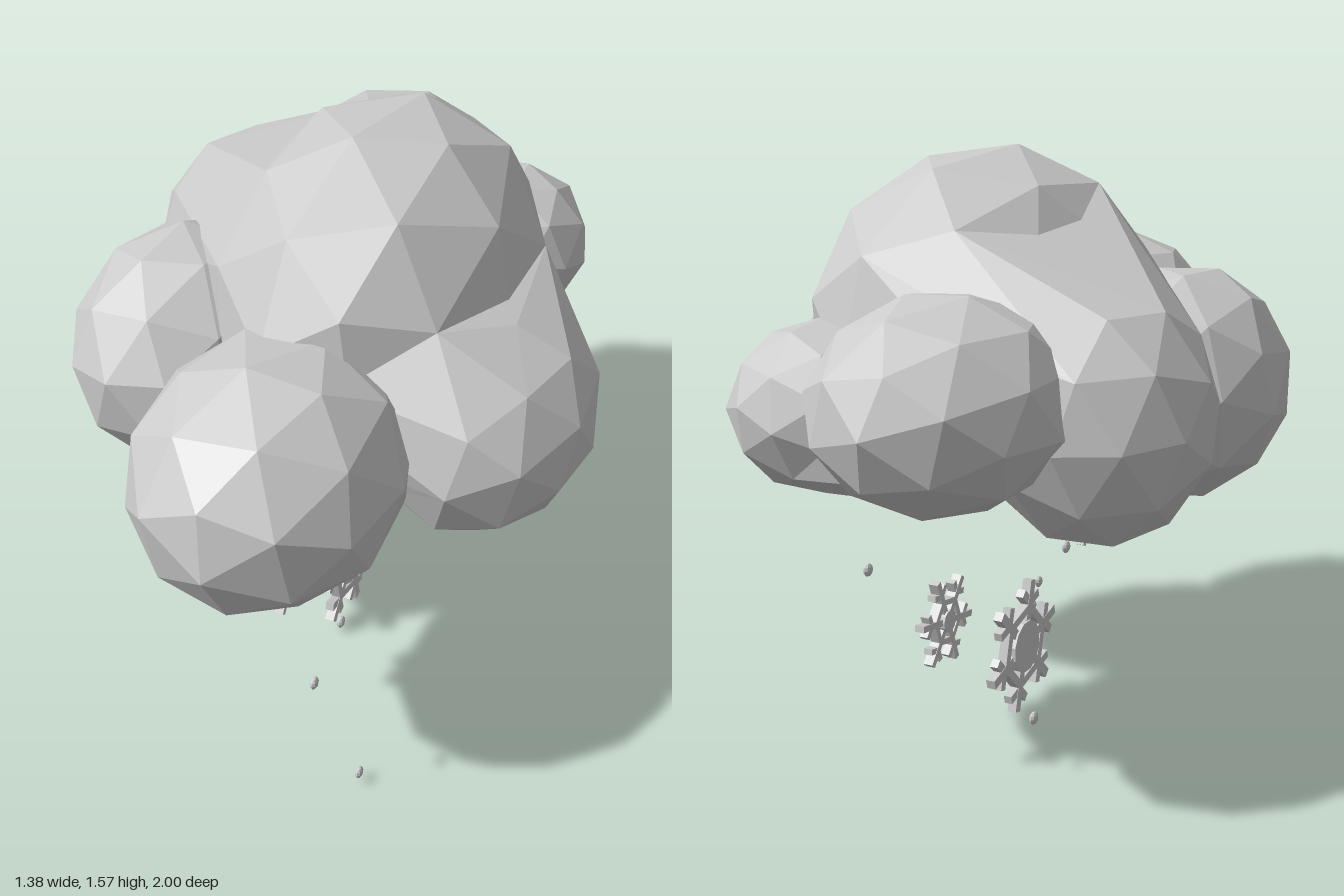
import * as THREE from 'three';
import { ConvexGeometry } from 'three/addons/geometries/ConvexGeometry.js';

const grey = new THREE.MeshStandardMaterial({ color: 0xcccccc, flatShading: true });

function add(parent, name, geometry) {
  const mesh = new THREE.Mesh(geometry, grey);
  mesh.name = name;
  parent.add(mesh);
  return mesh;
}

// Faceted puff: a turned icosphere fitted to a centre and half sizes
function puff(center, half, turn) {
  const g = new THREE.IcosahedronGeometry(1, 1);
  g.rotateX(turn[0]).rotateY(turn[1]).rotateZ(turn[2]);
  g.center();
  const { max } = g.boundingBox;
  g.scale(half[0] / max.x, half[1] / max.y, half[2] / max.z);
  g.translate(...center);
  g.computeVertexNormals();
  return g;
}

// Filled join between two puffs: hull over the points that pass a test
function join(a, b, keep) {
  const points = [];
  for (const { attributes: { position } } of [a, b]) {
    for (let i = 0; i < position.count; i++) {
      const p = new THREE.Vector3().fromBufferAttribute(position, i);
      if (keep(p)) points.push(p);
    }
  }
  return new ConvexGeometry(points);
}

// Flat bar in the flake's plane, starting at (x, 0) and running along an angle
function bar(parent, x, angle, length, width, depth) {
  const mesh = add(parent, 'bar', new THREE.BoxGeometry(length, width, depth).translate(length / 2, 0, 0));
  mesh.position.x = x;
  mesh.rotation.z = angle;
}

// Flat polygon plate with an optional hole
function plate(parent, name, outer, inner, depth, sides) {
  const loop = (r) => Array.from({ length: sides }, (_, i) => {
    const a = (i / sides) * Math.PI * 2;
    return new THREE.Vector2(r * Math.cos(a), r * Math.sin(a));
  });
  const shape = new THREE.Shape(loop(outer));
  if (inner) shape.holes.push(new THREE.Path(loop(inner).reverse()));
  const g = new THREE.ExtrudeGeometry(shape, { depth, bevelEnabled: false });
  add(parent, name, g.translate(0, 0, -depth / 2));
}

// Six-armed snowflake standing in the YZ plane
function snowflake({ name, y, z, radius, width, tilt, fork, hub, ring }) {
  const flake = new THREE.Group();
  flake.name = name;
  const depth = 0.026;
  const [at, length] = fork;
  for (let i = 0; i < 6; i++) {
    const arm = new THREE.Group();
    arm.name = 'arm';
    arm.rotation.z = (i * Math.PI) / 3;
    bar(arm, 0, 0, radius, width, depth);
    for (const side of [-1, 1]) {
      bar(arm, at * radius, (side * Math.PI) / 3, length * radius, width * 0.9, depth * 0.9);
    }
    flake.add(arm);
  }
  plate(flake, 'hub', hub, 0, depth * 1.4, 12);
  if (ring) plate(flake, 'ring', ring, ring - width, depth, 6);
  flake.position.set(-0.015, y, z);
  flake.rotation.set(0, Math.PI / 2, tilt);
  return flake;
}

export function createModel() {
  const model = new THREE.Group();
  model.name = 'snowCloud';

  // Cloud: centre, half sizes and turn of each puff
  const cloud = new THREE.Group();
  cloud.name = 'cloud';
  const puffs = {
    mainPuff: puff([0.05, 1.14, -0.06], [0.4, 0.43, 0.55], [0.2, 0.3, 0.15]),
    frontPuff: puff([0.025, 0.955, 0.595], [0.34, 0.315, 0.405], [0.12, 0, 0.1]),
    leftPuff: puff([0.41, 0.925, 0.145], [0.28, 0.275, 0.375], [0, 0.1, -0.25]),
    rightFrontPuff: puff([-0.41, 0.955, 0.17], [0.28, 0.3, 0.35], [0.2, 0.3, -0.3]),
    rightBackPuff: puff([-0.395, 0.98, -0.315], [0.285, 0.33, 0.31], [0.5, 0.1, 0.3]),
    backPuff: puff([-0.14, 1.045, -0.61], [0.31, 0.26, 0.39], [0, 0, 0.2]),
    leftBackPuff: puff([0.23, 0.985, -0.565], [0.23, 0.205, 0.255], [0.3, 0.6, 0]),
  };
  for (const [name, geometry] of Object.entries(puffs)) add(cloud, name, geometry);
  const { mainPuff, leftPuff, rightBackPuff, backPuff, leftBackPuff } = puffs;
  add(cloud, 'rightShoulder', join(mainPuff, rightBackPuff, (p) => p.y > 0.92 && p.y < 1.5));
  add(cloud, 'leftShoulder', join(mainPuff, leftPuff, (p) => p.y > 0.85 && p.y < 1.3 && p.z > -0.3));
  add(cloud, 'backSkirt', join(backPuff, leftBackPuff, (p) => p.y < 1.05 && p.z > -0.8));
  model.add(cloud);

  // Snowflakes
  model.add(
    snowflake({
      name: 'largeSnowflake', y: 0.185, z: 0.015, radius: 0.187, width: 0.027, tilt: -0.27,
      fork: [0.66, 0.28], hub: 0.075, ring: 0.125,
    }),
    snowflake({
      name: 'frontSnowflake', y: 0.46, z: 0.43, radius: 0.103, width: 0.018, tilt: -0.12,
      fork: [0.58, 0.27], hub: 0.03,
    }),
    snowflake({
      name: 'backSnowflake', y: 0.41, z: -0.415, radius: 0.124, width: 0.017, tilt: 0.15,
      fork: [0.64, 0.27], hub: 0.03, ring: 0.068,
    }),
  );

  // Small flattened snow grains facing sideways
  const grains = [
    [0.19, 0.43, 0.74], [-0.16, 0.505, -0.005], [0.09, 0.59, -0.605],
    [0.095, 0.25, 0.335], [-0.235, 0.155, -0.34], [0.27, 0.04, 0.64],
  ];
  for (const position of grains) {
    const g = new THREE.SphereGeometry(0.017, 8, 6).scale(0.6, 1, 1);
    add(model, 'snowGrain', g).position.set(...position);
  }
  return model;
}
